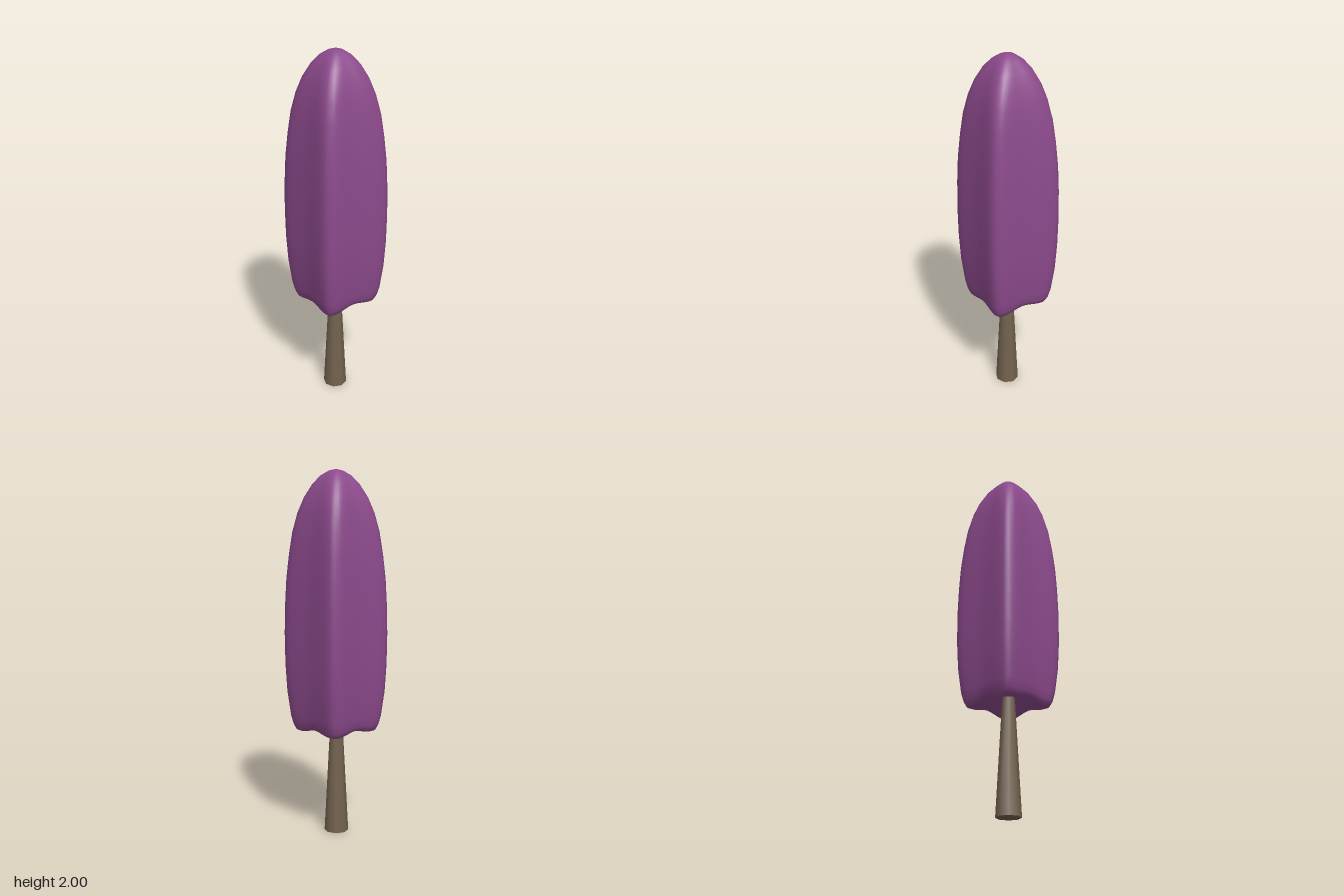
import * as THREE from 'three';
import { mergeVertices } from 'three/addons/utils/BufferGeometryUtils.js';

const SEGMENTS = 64;

// Stations from the underside centre, round the lip and up to the tip:
// [height, half width, squareness exponent, lift of the side middles]
const stations = [
  [0.64, 0, 3, 0], [0.625, 0.05, 3, 0.003], [0.602, 0.09, 4, 0.01],
  [0.583, 0.125, 6, 0.02], [0.575, 0.15, 8, 0.022], [0.582, 0.167, 9, 0.02],
  [0.61, 0.178, 10, 0.012], [0.66, 0.189, 10, 0.004], [0.8, 0.204, 10, 0],
  [0.95, 0.211, 10, 0], [1.12, 0.213, 10, 0], [1.28, 0.21, 10, 0],
  [1.42, 0.204, 10, 0], [1.55, 0.194, 9, 0], [1.67, 0.182, 7.5, 0],
  [1.77, 0.164, 6, 0], [1.85, 0.142, 4.5, 0], [1.92, 0.11, 3.4, 0],
  [1.965, 0.075, 2.8, 0], [1.99, 0.038, 2.3, 0], [2, 0, 2, 0],
];

// Rounded-square loft with slightly hollow sides
function bodyGeometry() {
  const positions = [], indices = [];
  for (const [y, half, n, lift] of stations) {
    for (let i = 0; i < SEGMENTS; i++) {
      const a = (i / SEGMENTS) * Math.PI * 2;
      const c = Math.cos(a), s = Math.sin(a);
      const middle = Math.cos(2 * a) ** 2;
      const r = half * (Math.abs(c) ** n + Math.abs(s) ** n) ** (-1 / n) * (1 - 0.035 * middle);
      positions.push(r * c, y + lift * middle, r * s);
    }
  }
  for (let j = 0; j < stations.length - 1; j++) {
    for (let i = 0; i < SEGMENTS; i++) {
      const k = (i + 1) % SEGMENTS;
      const a = j * SEGMENTS + i, b = j * SEGMENTS + k;
      const d = a + SEGMENTS, e = b + SEGMENTS;
      if (j > 0) indices.push(a, d, b);
      if (j < stations.length - 2) indices.push(b, d, e);
    }
  }
  const geometry = new THREE.BufferGeometry();
  geometry.setAttribute('position', new THREE.Float32BufferAttribute(positions, 3));
  geometry.setIndex(indices);
  const welded = mergeVertices(geometry, 1e-5);
  welded.computeVertexNormals();
  return welded;
}

export function createModel() {
  const model = new THREE.Group();

  // Tall square-sided body with a domed top and arched underside
  const body = new THREE.Mesh(bodyGeometry(), new THREE.MeshStandardMaterial({ color: 0x8c4a8c }));
  body.name = 'body';
  model.add(body);

  // Tapered stick, wider at the foot
  const stick = new THREE.Mesh(
    new THREE.CylinderGeometry(0.032, 0.067, 0.66, 8),
    new THREE.MeshStandardMaterial({ color: 0x73634f }),
  );
  stick.name = 'stick';
  stick.position.set(-0.004, 0.33, 0);
  model.add(stick);

  return model;
}
